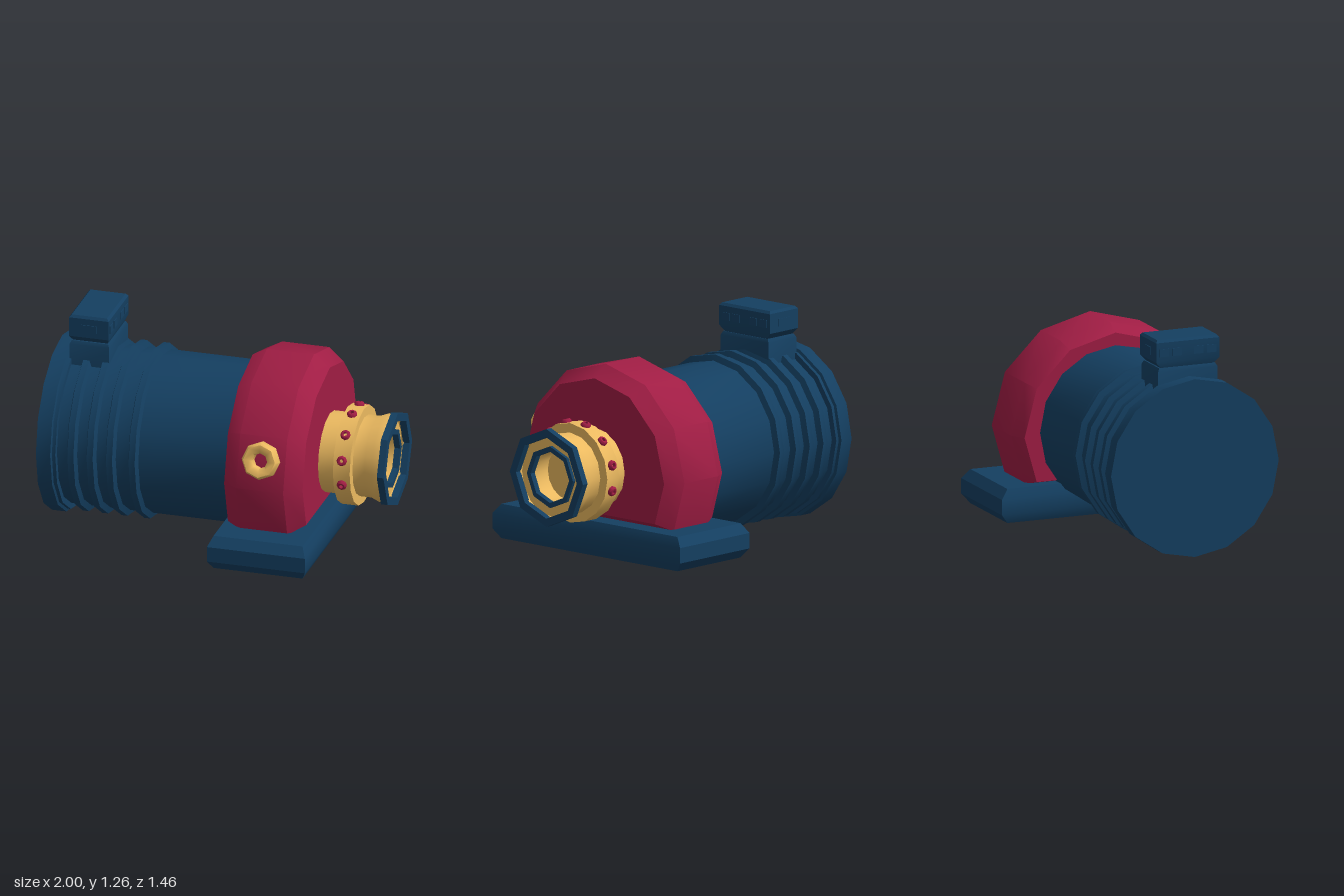
import * as THREE from 'three';
import { toCreasedNormals } from 'three/addons/utils/BufferGeometryUtils.js';

const paint = (color) => new THREE.MeshStandardMaterial({ color });
const AXIS_Y = 0.522;

// Skin a stack of closed loops (arrays of [x, y, z]) and cap both ends
function loft(loops, crease = 0.6) {
  const n = loops[0].length;
  const index = [];
  for (let k = 0; k < loops.length - 1; k++) {
    for (let i = 0; i < n; i++) {
      const j = (i + 1) % n;
      const a = k * n + i, b = k * n + j, c = b + n, d = a + n;
      index.push(a, b, c, a, c, d);
    }
  }
  const top = (loops.length - 1) * n;
  for (let i = 1; i < n - 1; i++) {
    index.push(0, i + 1, i);
    index.push(top, top + i, top + i + 1);
  }
  const geo = new THREE.BufferGeometry();
  geo.setAttribute('position', new THREE.Float32BufferAttribute(loops.flat(2), 3));
  geo.setIndex(index);
  return toCreasedNormals(geo, crease);
}

// Rectangle at height y, half sizes w (x) and d (z)
const rect = (y, w, d) => [[w, y, d], [w, y, -d], [-w, y, -d], [-w, y, d]];

// Turned part from [radius, height] pairs
function turned(profile, sides, crease = 0.6) {
  const pts = profile.map(([r, h]) => new THREE.Vector2(r, h));
  return toCreasedNormals(new THREE.LatheGeometry(pts, sides), crease);
}

// Turned part lying along x
const turnedX = (profile, sides) => turned(profile, sides).rotateZ(-Math.PI / 2);

// Closed square-section ring profile
const ringProfile = (inner, outer, h0, h1) =>
  [[inner, h0], [outer, h0], [outer, h1], [inner, h1], [inner, h0]];

export function createModel() {
  const group = new THREE.Group();
  const blue = paint(0x143f61), red = paint(0xa01d44), gold = paint(0xecba60);

  const add = (name, geo, mat, x = 0, y = 0, z = 0) => {
    const mesh = new THREE.Mesh(geo, mat);
    mesh.name = name;
    mesh.position.set(x, y, z);
    group.add(mesh);
    return mesh;
  };

  // Motor barrel: end flange, collar, four raised bands
  const barrel = [[0, -1], [0.522, -1], [0.522, -0.915], [0.505, -0.91], [0.505, -0.89], [0.47, -0.89]];
  for (const x of [-0.8, -0.685, -0.57, -0.435]) {
    barrel.push([0.47, x - 0.03], [0.505, x - 0.018], [0.505, x + 0.018], [0.47, x + 0.03]);
  }
  barrel.push([0.47, 0.2], [0, 0.2]);
  add('motorBarrel', turnedX(barrel, 16), blue, 0, AXIS_Y);

  // Pump casing: twelve-sided, flat at the bottom, bevelled on both faces
  const casingLoop = ([x, s, bottom]) => {
    const loop = [];
    for (let i = -1; i <= 7; i++) {
      const a = i * Math.PI / 6, r = 0.612 * s;
      loop.push([x, Math.max(bottom, 0.5 + r * Math.sin(a)), -r * Math.cos(a)]);
    }
    return loop;
  };
  add('pumpCasing', loft([[0.135, 0.925, 0.235], [0.22, 1, 0.21], [0.5, 1, 0.21], [0.595, 0.885, 0.257]]
    .map(casingLoop)), red);

  // Foot plate
  add('footPlate', loft([rect(0.02, 0.265, 0.685), rect(0.075, 0.292, 0.73),
    rect(0.165, 0.292, 0.73), rect(0.22, 0.265, 0.685)]), blue, 0.373);

  // Terminal box on its pedestal
  const boxX = -0.782;
  add('terminalPedestal', loft([rect(0.85, 0.118, 0.185), rect(1.08, 0.118, 0.185),
    rect(1.1, 0.108, 0.175)]), blue, boxX);
  add('terminalBox', loft([rect(1.09, 0.1, 0.155), rect(1.135, 0.118, 0.197),
    rect(1.25, 0.118, 0.197), rect(1.265, 0.105, 0.185)]), blue, boxX);
  for (const side of [-1, 1]) {
    add('endKnockout', new THREE.BoxGeometry(0.09, 0.045, 0.01), blue, boxX, 1.19, side * 0.196);
    for (const z of [-0.147, -0.066, 0.066, 0.147]) {
      add('sideKnockout', new THREE.BoxGeometry(0.01, 0.045, 0.058), blue, boxX + side * 0.117, 1.19, z);
    }
  }

  // Outlet pipe with raised collar and hollow mouth
  add('outletPipe', turnedX([[0, 0.55], [0.235, 0.55], [0.235, 0.7], [0.29, 0.7], [0.29, 0.8],
    [0.235, 0.8], [0.235, 0.87], [0.255, 0.92], [0.255, 0.965], [0.235, 0.965], [0.235, 0.95],
    [0.155, 0.95], [0.155, 0.82], [0, 0.82]], 16), gold, 0, AXIS_Y);
  add('outletRim', turnedX(ringProfile(0.237, 0.285, 0.96, 1), 8), blue, 0, AXIS_Y);
  add('outletInnerRing', turnedX(ringProfile(0.15, 0.18, 0.935, 0.97), 8), blue, 0, AXIS_Y);

  // Hollow bolts around the upper part of the collar
  const boltGeo = turned([[0.012, -0.03], [0.03, -0.03], [0.03, 0.012], [0.022, 0.022],
    [0.012, 0.022], [0.012, -0.03]], 8, 0.9);
  for (let i = 0; i < 8; i++) {
    const a = THREE.MathUtils.degToRad(-105 + 30 * i);
    const bolt = add('collarBolt', boltGeo, red, 0.75, AXIS_Y + 0.284 * Math.cos(a), 0.284 * Math.sin(a));
    bolt.rotation.x = a;
  }

  // Side port, square to the casing facet
  const port = add('sidePort', turned([[0.045, -0.08], [0.085, -0.08], [0.11, -0.03], [0.11, 0.01],
    [0.095, 0.035], [0.06, 0.035], [0.045, 0.02], [0.045, -0.08]], 8, 0.9), gold, 0.36, 0.68, 0.592);
  port.rotation.x = THREE.MathUtils.degToRad(75);

  return group;
}
